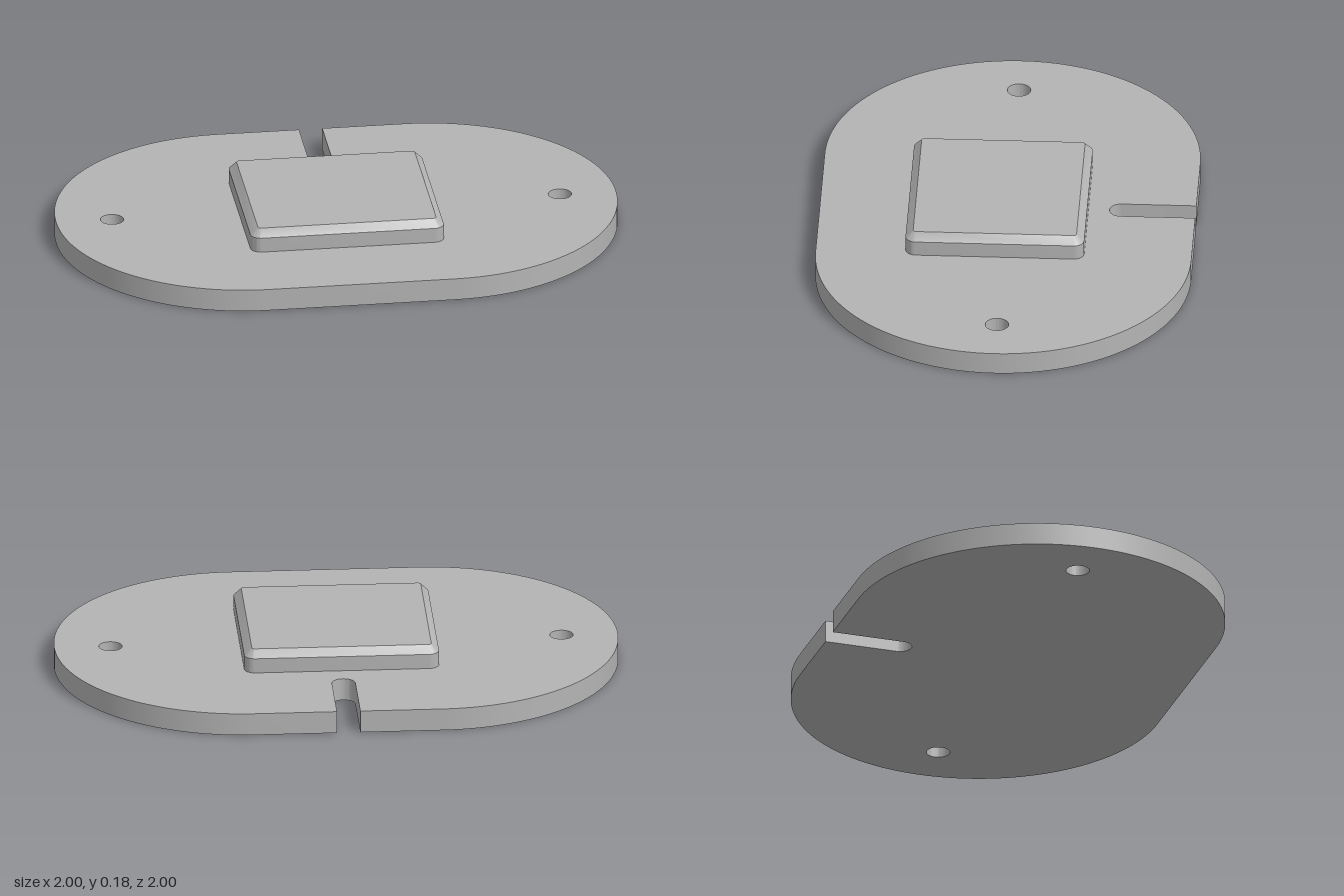
import * as THREE from 'three';
import { toCreasedNormals } from 'three/addons/utils/BufferGeometryUtils.js';

const HALF = Math.PI / 2;

// Extrude a plan shape upward from height y, turned 45 degrees on the ground
function slab(name, shape, y, options, material) {
  const extruded = new THREE.ExtrudeGeometry(shape, { bevelEnabled: false, curveSegments: 48, ...options });
  extruded.rotateZ(-Math.PI / 4).rotateX(-HALF).translate(0, y, 0);
  const mesh = new THREE.Mesh(toCreasedNormals(extruded, 0.5), material);
  mesh.name = name;
  return mesh;
}

// Rounded-end outline with a slot cut in one long side and two screw holes
function plateShape() {
  const r = 0.738, end = 0.3705, slot = 0.046, slotEnd = 0.445;
  const shape = new THREE.Shape();
  shape.moveTo(-end, -r);
  shape.lineTo(end, -r);
  shape.absarc(end, 0, r, -HALF, HALF, false);
  shape.lineTo(slot, r);
  shape.lineTo(slot, slotEnd);
  shape.absarc(0, slotEnd, slot, 0, -Math.PI, true);
  shape.lineTo(-slot, r);
  shape.lineTo(-end, r);
  shape.absarc(-end, 0, r, HALF, 3 * HALF, false);
  for (const side of [-1, 1]) {
    shape.holes.push(new THREE.Path().absarc(side * 0.887, 0, 0.046, 0, Math.PI * 2, true));
  }
  return shape;
}

// Rectangle with rounded corners, given by centre and half sizes
function roundedRect(cx, cy, hx, hy, r) {
  const shape = new THREE.Shape();
  const corners = [[1, -1], [1, 1], [-1, 1], [-1, -1]];
  corners.forEach(([sx, sy], i) => {
    shape.absarc(cx + sx * (hx - r), cy + sy * (hy - r), r, (i - 1) * HALF, i * HALF, false);
  });
  shape.closePath();
  return shape;
}

export function createModel() {
  const model = new THREE.Group();
  model.name = 'mountingPlate';
  const grey = new THREE.MeshStandardMaterial({ color: 0xb4b4b4 });
  grey.name = 'grey';

  model.add(slab('basePlate', plateShape(), 0, { depth: 0.09 }, grey));

  // Raised block with a chamfered top; its lower bevel is sunk into the plate
  const bevel = 0.03;
  const block = roundedRect(-0.0035, -0.035, 0.383 - bevel, 0.351 - bevel, 0.042 - bevel);
  model.add(slab('raisedBlock', block, 0.07, {
    depth: 0.08, curveSegments: 8,
    bevelEnabled: true, bevelThickness: bevel, bevelSize: bevel, bevelSegments: 1,
  }, grey));
  return model;
}
